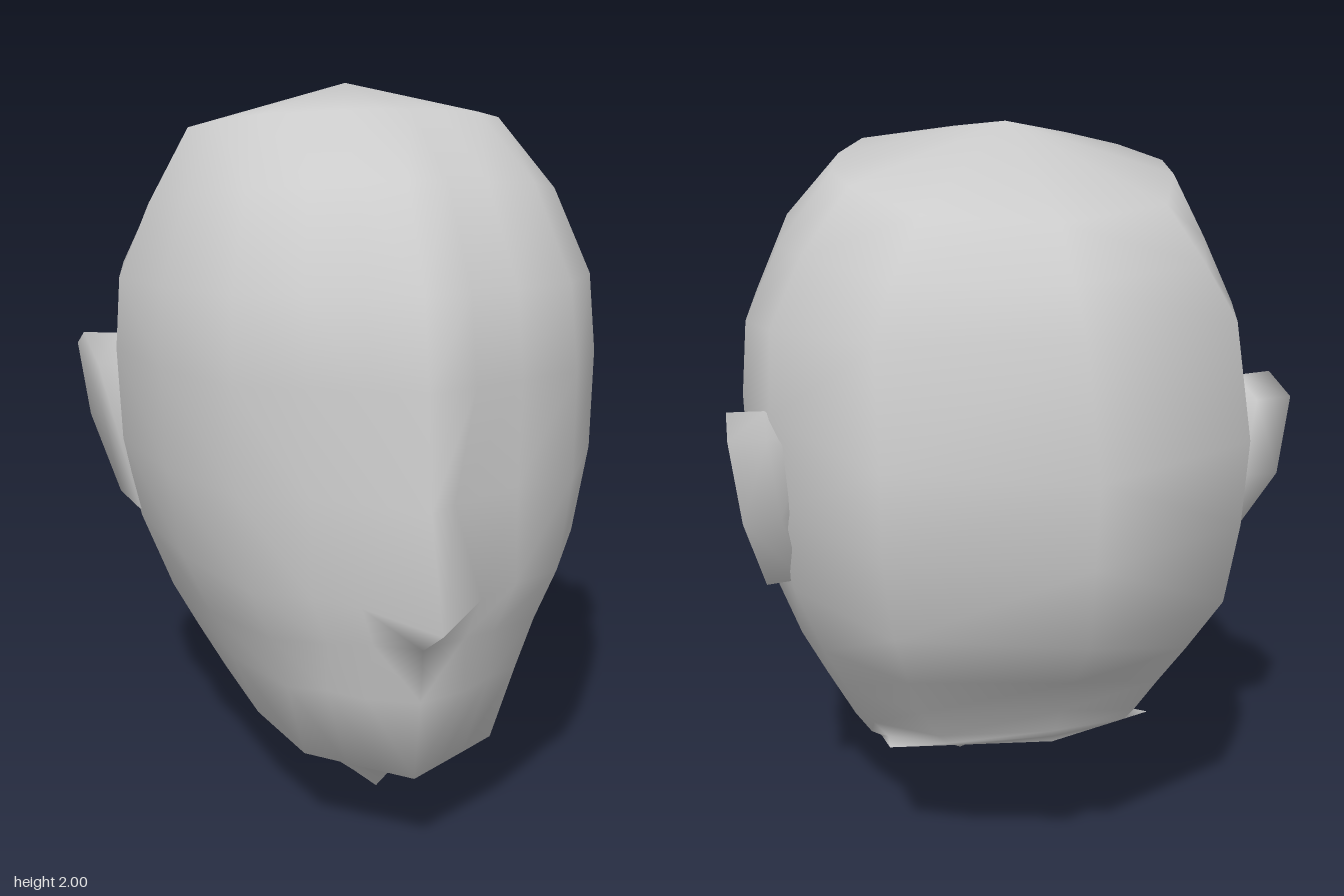
import * as THREE from 'three';
import { mergeVertices } from 'three/addons/utils/BufferGeometryUtils.js';

const material = new THREE.MeshStandardMaterial({ color: 0xcccccc });

// Skin a stack of closed loops with smooth normals; diagonals mirror across the loop
function loft(loops) {
  const n = loops[0].length, index = [];
  for (let i = 0; i < loops.length - 1; i++) {
    for (let j = 0; j < n; j++) {
      const k = (j + 1) % n;
      const a = i * n + j, b = i * n + k, c = a + n, d = b + n;
      if (j < n / 2) index.push(a, c, b, b, c, d);
      else index.push(a, c, d, a, d, b);
    }
  }
  let geo = new THREE.BufferGeometry();
  geo.setAttribute('position', new THREE.Float32BufferAttribute(loops.flat(2), 3));
  geo.setIndex(index);
  geo = mergeVertices(geo, 1e-4);
  geo.computeVertexNormals();
  return geo;
}

// Complete a half loop (front centre to back centre) with its mirror image
const mirrorLoop = (half) => [
  ...half,
  ...half.slice(1, -1).reverse().map(([x, y, z]) => [-x, y, z]),
];

// Half outline of the head from above: share of width, share of depth
const outline = [
  [0, 1], [0.2, 0.925], [0.4, 0.85], [0.65, 0.755], [0.87, 0.42],
  [1, 0.02], [0.96, -0.25], [0.7, -0.77], [0, -1],
];

// Head levels: y front, y side, y back, z front, z middle, z back, half width
const levels = [
  [1.95, 1.88, 1.79, 0.24, -0.2, -0.65, 0.46],
  [1.79, 1.68, 1.66, 0.55, -0.1, -0.75, 0.585],
  [1.53, 1.48, 1.54, 0.735, -0.08, -0.84, 0.675],
  [1.3, 1.28, 1.22, 0.785, -0.08, -0.945, 0.69],
  [1.01, 1.02, 1.0, 0.8, -0.08, -0.922, 0.68],
  [0.74, 0.79, 0.79, 0.77, -0.08, -0.9, 0.635],
  [0.63, 0.57, 0.65, 0.75, -0.08, -0.785, 0.55],
  [0.48, 0.44, 0.53, 0.73, -0.08, -0.69, 0.48],
  [0.24, 0.3, 0.46, 0.67, -0.08, -0.66, 0.4],
  [0.14, 0.25, 0.44, 0.33, -0.1, -0.65, 0.36],
];

// Nose, eye sockets and mouth: level, column, then the moved point
const features = [
  [4, 0, 0, 1.01, 0.82], [4, 1, 0.08, 1.01, 0.745], [4, 2, 0.27, 1.02, 0.655],
  [5, 0, 0, 0.74, 0.945], [5, 1, 0.155, 0.75, 0.735], [5, 2, 0.27, 0.76, 0.66],
  [6, 1, 0.12, 0.64, 0.71], [6, 2, 0.22, 0.62, 0.63],
  [7, 1, 0.13, 0.48, 0.68], [7, 2, 0.22, 0.48, 0.6],
];

// Slanted cut at the base of the neck
const neckHalf = [
  [0, 0, 0.21], [0.06, 0.04, 0.18], [0.13, 0.08, 0.14], [0.21, 0.13, 0.1],
  [0.32, 0.2, 0.04], [0.345, 0.26, -0.15], [0.38, 0.34, -0.39],
  [0.19, 0.38, -0.515], [0, 0.42, -0.64],
];

function headGeometry() {
  const { lerp } = THREE.MathUtils;
  const halves = levels.map(([yf, ys, yb, zf, zm, zb, w]) =>
    outline.map(([u, v]) => [
      u * w,
      lerp(ys, v > 0 ? yf : yb, Math.abs(v)),
      lerp(zm, v > 0 ? zf : zb, Math.abs(v)),
    ]));
  for (const [level, column, ...point] of features) halves[level][column] = point;
  const crown = outline.map(() => [0, 2, -0.22]);
  return loft([crown, ...halves, neckHalf].map(mirrorLoop));
}

// Flat closing face of the neck
function neckCutGeometry() {
  const ring = mirrorLoop(neckHalf).reverse();
  return loft([ring.map(() => [0, 0.26, -0.15]), ring]);
}

// Ear: outer face, rim, and a narrower root sunk into the head
function earGeometry(side) {
  const rim = [
    [0.74, 1.23, -0.1], [0.64, 0.81, -0.05], [0.68, 0.805, -0.27],
    [0.755, 1.02, -0.385], [0.785, 1.24, -0.385], [0.77, 1.29, -0.28],
  ];
  const place = (inset, shrink) => rim.map(([x, y, z]) => [
    side * (x - inset),
    1.05 + (y - 1.05) * shrink,
    -0.16 + (z + 0.16) * shrink,
  ]);
  const centre = rim.map(() => [side * 0.725, 1.05, -0.23]);
  const root = place(0, 0.65).map(([, y, z]) => [side * 0.58, y, z]);
  const loops = [centre, place(0, 1), place(0.1, 0.98), root];
  return loft(side > 0 ? loops : loops.map((loop) => loop.reverse()));
}

export function createModel() {
  const model = new THREE.Group();
  model.name = 'head';
  const add = (name, geometry) => {
    const mesh = new THREE.Mesh(geometry, material);
    mesh.name = name;
    model.add(mesh);
  };
  add('skullAndFace', headGeometry());
  add('neckCut', neckCutGeometry());
  add('leftEar', earGeometry(1));
  add('rightEar', earGeometry(-1));
  return model;
}
